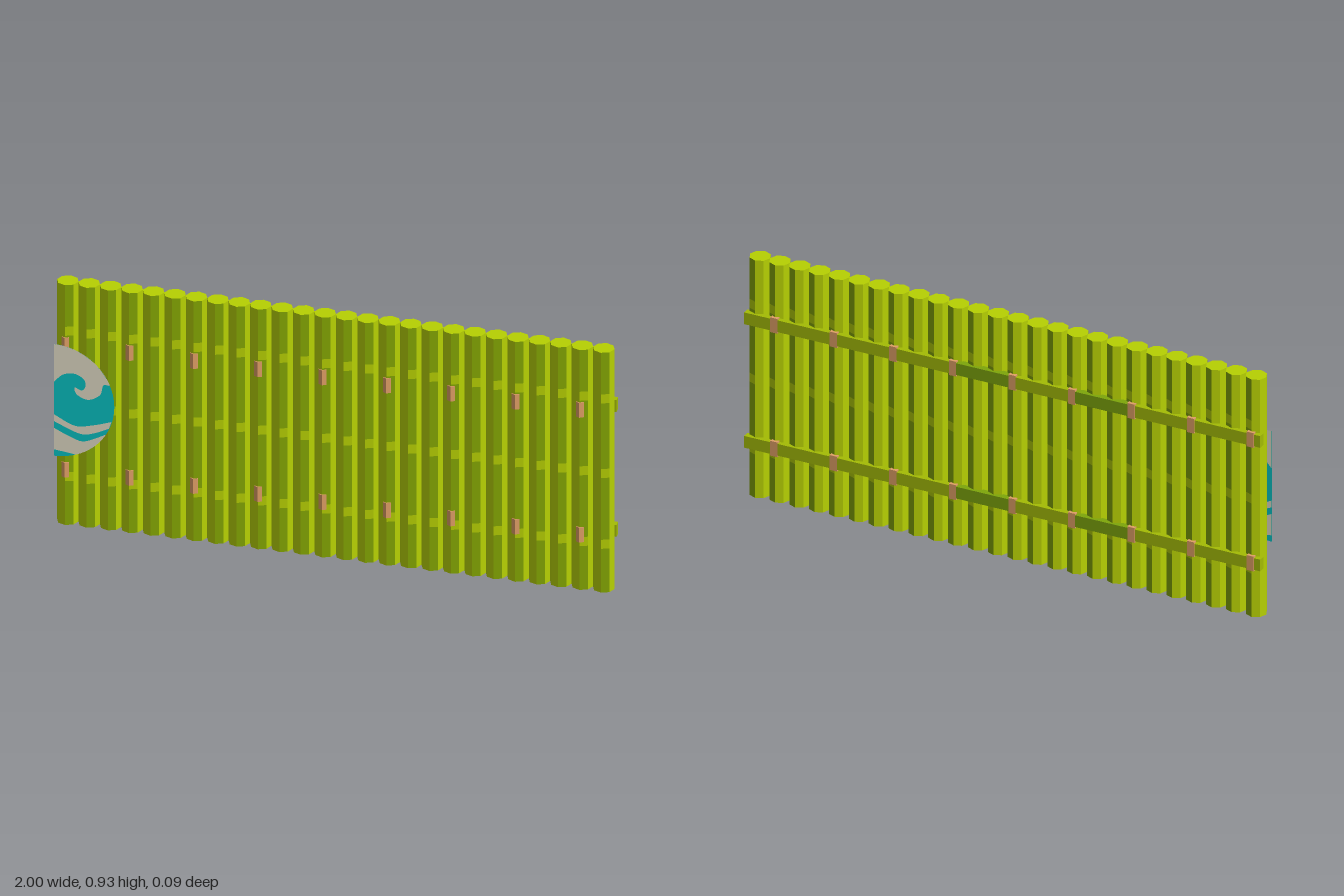
import * as THREE from 'three';

const mat = (name, color, side = THREE.FrontSide) => {
  const m = new THREE.MeshStandardMaterial({ color, side, flatShading: true });
  m.name = name;
  return m;
};

export function createModel() {
  const yellowGreen = mat('yellow green', 0xb6d002);
  const green = mat('cane green', 0x86a802);
  const olive = mat('rail olive', 0xa4bc04);
  const railGreen = mat('rail green', 0x7ea60a);
  const rope = mat('rope tan', 0xe0a066);
  const cream = mat('cream', 0xe4dec8, THREE.DoubleSide);
  const teal = mat('teal', 0x06c4c6, THREE.DoubleSide);

  const root = new THREE.Group();
  root.name = 'bambooFence';
  const add = (parent, name, geo, material, x = 0, y = 0, z = 0) => {
    const mesh = new THREE.Mesh(geo, material);
    mesh.name = name;
    mesh.position.set(x, y, z);
    parent.add(mesh);
    return mesh;
  };

  const COUNT = 26, PITCH = 0.0769, R = 0.0385, H = 0.932;
  const poleX = (i) => (i - (COUNT - 1) / 2) * PITCH;

  // Poles: octagonal canes, one green facet front and back with pale node bands
  const STEP = Math.PI / 4;
  const facets = (height, first, count) =>
    new THREE.CylinderGeometry(R, R, height, count, 1, true, first * STEP, count * STEP);
  const stops = [0, 0.17, 0.205, 0.445, 0.48, 0.735, 0.77, H];
  const pole = new THREE.Group();
  add(pole, 'poleLeftSide', facets(H, 1, 2), yellowGreen, 0, H / 2);
  add(pole, 'poleRightSide', facets(H, 4, 4), yellowGreen, 0, H / 2);
  for (let s = 0; s < stops.length - 1; s++) {
    const h = stops[s + 1] - stops[s];
    for (const first of [0, 3]) {
      add(pole, s % 2 ? 'nodeBand' : 'poleFace', facets(h, first, 1),
        s % 2 ? yellowGreen : green, 0, stops[s] + h / 2);
    }
  }
  for (const top of [0, 1]) {
    const cap = add(pole, 'poleEnd', new THREE.CircleGeometry(R, 8), yellowGreen, 0, top * H);
    cap.rotation.x = top ? -Math.PI / 2 : Math.PI / 2;
  }
  for (let i = 0; i < COUNT; i++) {
    const p = pole.clone();
    p.name = 'pole';
    p.position.x = poleX(i);
    root.add(p);
  }

  // Rope tie: band through the fence with a ridged front
  const tieShape = new THREE.Shape([[-0.014, 0.048], [-0.014, -0.035], [0, -0.043], [0.014, -0.035], [0.014, 0.048]]
    .map(([x, y]) => new THREE.Vector2(x, y)));
  const tieGeo = new THREE.ExtrudeGeometry(tieShape, { depth: 0.058, bevelEnabled: false });
  tieGeo.translate(0, 0, -0.029);
  tieGeo.rotateX(-Math.PI / 2);

  // Rails across the back, in lengths between the ties
  for (const y of [0.215, 0.7]) {
    const edges = [-1];
    for (let i = 0; i < COUNT; i += 3) {
      add(root, 'ropeTie', tieGeo, rope, poleX(i), y, 0);
      edges.push(poleX(i));
    }
    edges.push(1);
    for (let s = 0; s < edges.length - 1; s++) {
      const w = edges[s + 1] - edges[s];
      add(root, 'rail', new THREE.BoxGeometry(w, 0.046, 0.025),
        s === 3 || s === 5 ? railGreen : olive, edges[s] + w / 2, y, -0.0345);
    }
  }

  // Half-round painted plate with a wave, on the right end of the front
  const plate = new THREE.Group();
  plate.name = 'wavePlate';
  plate.position.set(-1, 0.483, 0.042);
  root.add(plate);
  const PR = 0.217;
  add(plate, 'plateSea', new THREE.CircleGeometry(PR, 40, -Math.PI / 2, Math.PI), teal);

  const pts = (list) => list.map(([x, y]) => new THREE.Vector2(x, y));
  // Sky with the curling crest
  const sky = new THREE.Shape();
  sky.moveTo(0, PR);
  sky.absarc(0, 0, PR, Math.PI / 2, 0.38, true);
  sky.splineThru(pts([[0.178, 0.08], [0.165, 0.04], [0.123, 0.017], [0.083, 0.032],
    [0.075, 0.059], [0.1, 0.05], [0.114, 0.07], [0.105, 0.097], [0.07, 0.112],
    [0.032, 0.102], [0, 0.07]]));
  // Foam streak
  const streak = new THREE.Shape();
  streak.moveTo(0, -0.055);
  streak.splineThru(pts([[0.075, -0.09], [0.14, -0.08], [0.207, -0.058]]));
  streak.lineTo(0.198, -0.085);
  streak.splineThru(pts([[0.14, -0.112], [0.09, -0.118], [0, -0.082]]));
  // Lower foam
  const foam = new THREE.Shape();
  foam.moveTo(0, -0.108);
  foam.splineThru(pts([[0.06, -0.135], [0.11, -0.146], [0.186, -0.11]]));
  foam.absarc(0, 0, PR, -0.535, -1.2, true);
  foam.splineThru(pts([[0.045, -0.197], [0, -0.192]]));
  for (const z of [0.0008, -0.0008]) {
    add(plate, 'plateSky', new THREE.ShapeGeometry(sky, 24), cream, 0, 0, z);
    add(plate, 'foamStreak', new THREE.ShapeGeometry(streak, 24), cream, 0, 0, z);
    add(plate, 'lowerFoam', new THREE.ShapeGeometry(foam, 24), cream, 0, 0, z);
  }
  return root;
}
